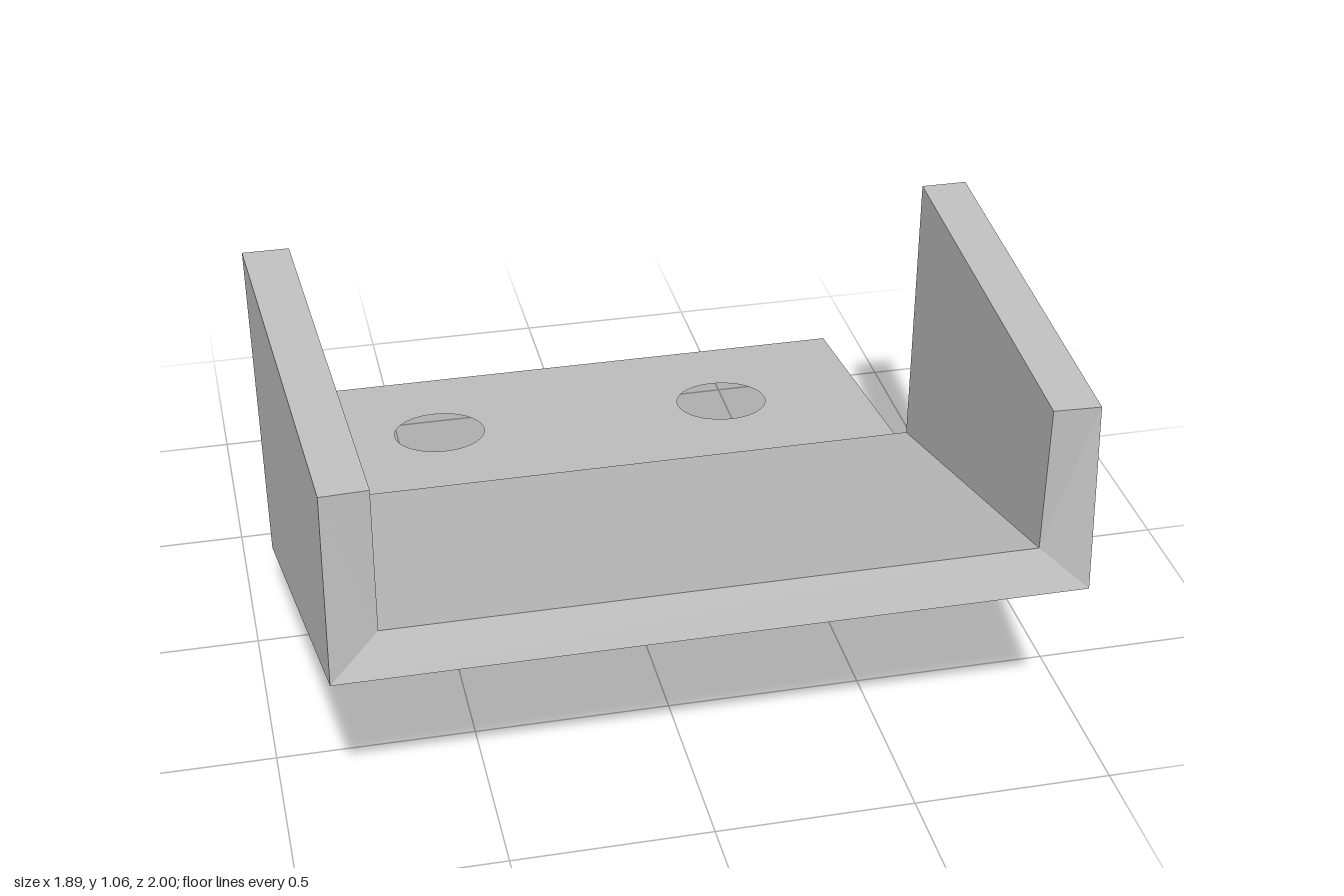
import * as THREE from 'three';

const grey = new THREE.MeshStandardMaterial({ color: 0xc0c0c0 });
grey.name = 'plain grey';

// U-shaped cross-section, counterclockwise from the front; each corner is [x, y, z]
function section(outerTop, outerBottom, innerTop, innerBottom) {
  const flip = ([x, y, z]) => [-x, y, z];
  return [flip(outerTop), flip(outerBottom), outerBottom, outerTop,
    innerTop, innerBottom, flip(innerBottom), flip(innerTop)];
}

// Sloping tray with two side walls, lofted between two sections
function makeTray() {
  const front = section([0.885, 1.06, 0.97], [0.89, 0.58, 1.0], [0.772, 1.06, 0.965], [0.772, 0.685, 0.96]);
  const back = section([0.945, 1.06, -0.18], [0.935, 0.195, -0.14], [0.828, 1.06, -0.18], [0.828, 0.302, -0.18]);
  const positions = [];
  const quad = (a, b, c, d) => positions.push(...a, ...b, ...c, ...a, ...c, ...d);

  for (let i = 0; i < 8; i++) {
    const j = (i + 1) % 8;
    quad(front[i], back[i], back[j], front[j]);
  }
  // End faces: left wall, floor, right wall
  for (const [a, b, c, d] of [[0, 1, 6, 7], [1, 2, 5, 6], [3, 4, 5, 2]]) {
    quad(front[a], front[b], front[c], front[d]);
    if (a === 3) quad(back[3], back[2], back[5], back[4]);
    else quad(back[a], back[d], back[c], back[b]);
  }

  const geometry = new THREE.BufferGeometry();
  geometry.setAttribute('position', new THREE.Float32BufferAttribute(positions, 3));
  geometry.computeVertexNormals();
  const mesh = new THREE.Mesh(geometry, grey);
  mesh.name = 'tray';
  return mesh;
}

// Tilted mounting plate with two screw holes square to its surface
function makePlate() {
  const halfWidth = 0.828, thickness = 0.143, slope = 0.13;
  const zBack = -1, zFront = -0.01;
  const shape = new THREE.Shape();
  shape.moveTo(-halfWidth, -zFront);
  shape.lineTo(-halfWidth, -zBack);
  shape.lineTo(halfWidth, -zBack);
  shape.lineTo(halfWidth, -zFront);
  shape.closePath();
  for (const x of [-0.413, 0.413]) {
    shape.holes.push(new THREE.Path().absarc(x, 0.61, 0.128, 0, Math.PI * 2, true));
  }
  const geometry = new THREE.ExtrudeGeometry(shape, { depth: thickness, bevelEnabled: false, curveSegments: 24 });
  geometry.rotateX(-Math.PI / 2);

  // Tilt the plate but keep its ends upright; lean only the hole rims
  const p = geometry.attributes.position;
  for (let i = 0; i < p.count; i++) {
    let z = p.getZ(i);
    if (Math.abs(p.getX(i)) < 0.7) z -= p.getY(i) * slope;
    p.setZ(i, z);
    p.setY(i, p.getY(i) + slope * (z - zBack));
  }
  geometry.computeVertexNormals();
  const mesh = new THREE.Mesh(geometry, grey);
  mesh.name = 'mountingPlate';
  return mesh;
}

export function createModel() {
  const model = new THREE.Group();
  model.name = 'bracket';
  model.add(makeTray(), makePlate());
  return model;
}
